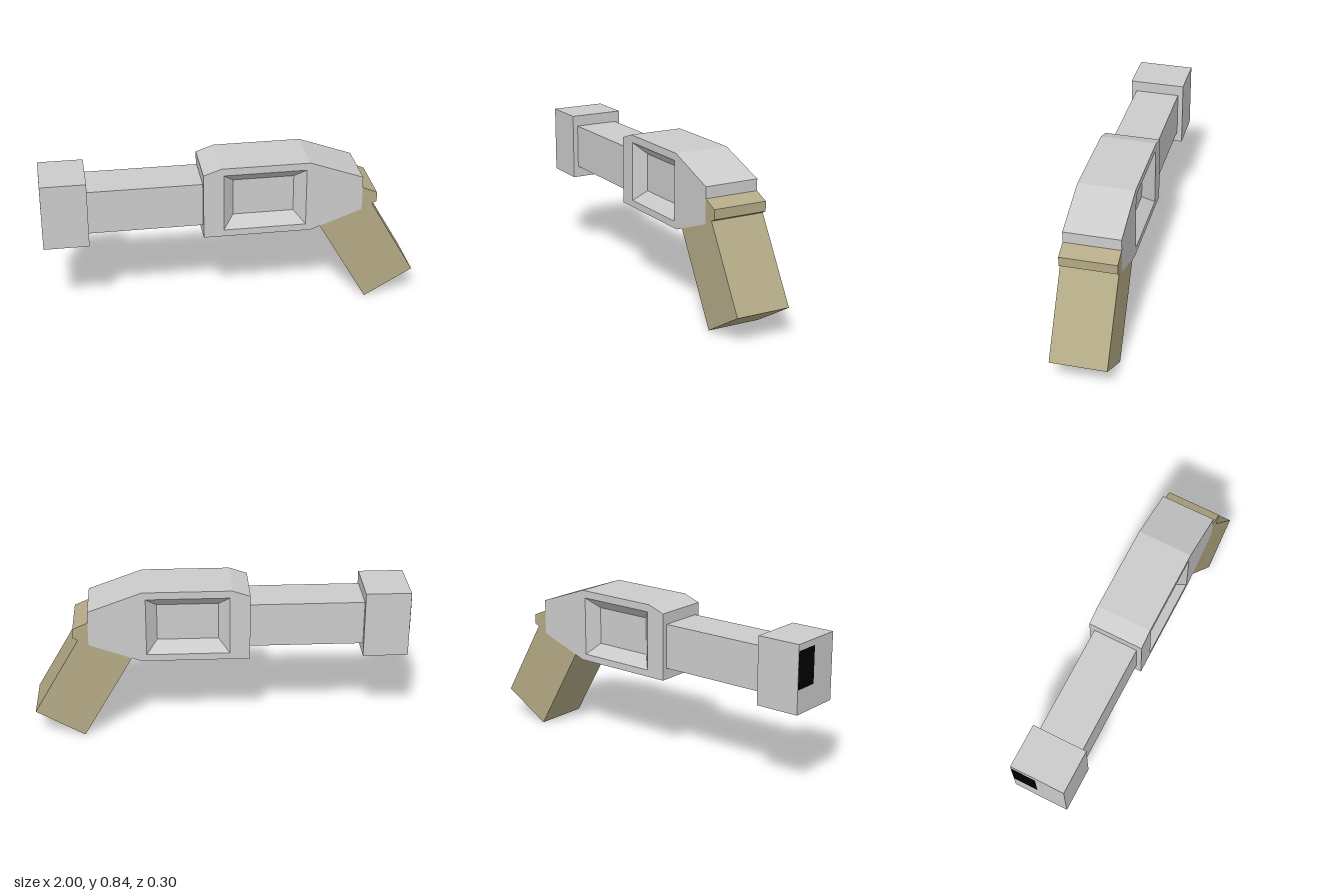
import * as THREE from 'three';

const grey = new THREE.MeshStandardMaterial({ color: 0xcccccc, flatShading: true, side: THREE.DoubleSide });
const tan = new THREE.MeshStandardMaterial({ color: 0xb4aa86, flatShading: true });
const black = new THREE.MeshStandardMaterial({ color: 0x000000, side: THREE.DoubleSide });

const HALF = 0.15;      // half width of the body, muzzle and grip
const FLOOR = 0.09;     // z of the recessed panel floor

const toShape = (pts) => new THREE.Shape(pts.map(([x, y]) => new THREE.Vector2(x, y)));
const rect = (x0, y0, x1, y1) => [[x0, y0], [x1, y0], [x1, y1], [x0, y1]];

// Band of quads joining two matching outlines at different z
function loft(a, za, b, zb) {
  const pos = [];
  a.forEach((p, i) => {
    const j = (i + 1) % a.length;
    const A = [...p, za], B = [...a[j], za], C = [...b[j], zb], D = [...b[i], zb];
    pos.push(...A, ...B, ...C, ...A, ...C, ...D);
  });
  const geo = new THREE.BufferGeometry();
  geo.setAttribute('position', new THREE.Float32BufferAttribute(pos, 3));
  geo.computeVertexNormals();
  return geo;
}

function add(parent, name, geo, mat) {
  const mesh = new THREE.Mesh(geo, mat);
  mesh.name = name;
  parent.add(mesh);
  return mesh;
}

function addBox(parent, name, x0, x1, y0, y1, halfZ) {
  const mesh = add(parent, name, new THREE.BoxGeometry(x1 - x0, y1 - y0, halfZ * 2), grey);
  mesh.position.set((x0 + x1) / 2, (y0 + y1) / 2, 0);
}

export function createModel() {
  const model = new THREE.Group();

  // Muzzle block and square barrel
  addBox(model, 'muzzle', -1, -0.76, 0.443, 0.805, HALF);
  addBox(model, 'barrel', -0.76, -0.155, 0.505, 0.745, 0.122);

  // Dark bore opening on the muzzle end
  const bore = add(model, 'bore', new THREE.PlaneGeometry(0.137, 0.2), black);
  bore.rotation.y = -Math.PI / 2;
  bore.position.set(-1.001, 0.672, -0.081);

  // Faceted body: outer band, then a recessed panel on both sides
  const body = new THREE.Group();
  body.name = 'body';
  model.add(body);
  const outline = [[-0.155, 0.443], [0.42, 0.443], [0.697, 0.545], [0.697, 0.735],
    [0.41, 0.84], [-0.06, 0.84], [-0.155, 0.807]];
  const outer = rect(-0.048, 0.48, 0.393, 0.8);
  const inner = rect(0.01, 0.54, 0.335, 0.743);
  add(body, 'bodyShell', loft(outline, -HALF, outline, HALF), grey);

  const sideShape = toShape(outline);
  sideShape.holes.push(toShape(outer));
  const floorGeo = new THREE.ShapeGeometry(toShape(inner));
  floorGeo.translate(0, 0, FLOOR);
  for (const s of [1, -1]) {
    const side = new THREE.Group();
    side.name = s > 0 ? 'frontPanel' : 'backPanel';
    side.scale.z = s;
    body.add(side);
    add(side, 'sideFace', new THREE.ShapeGeometry(sideShape), grey).position.z = HALF;
    add(side, 'recessWalls', loft(outer, HALF, inner, FLOOR), grey);
    add(side, 'recessFloor', floorGeo, grey);
  }

  // Slanted grip with a small tang behind the body
  const gripGeo = new THREE.ExtrudeGeometry(
    toShape([[0.737, 0], [0.997, 0.15], [0.752, 0.574], [0.777, 0.587], [0.777, 0.639],
      [0.697, 0.674], [0.697, 0.545], [0.471, 0.462]]),
    { depth: HALF * 2, bevelEnabled: false });
  gripGeo.translate(0, 0, -HALF);
  add(model, 'grip', gripGeo, tan);

  return model;
}
